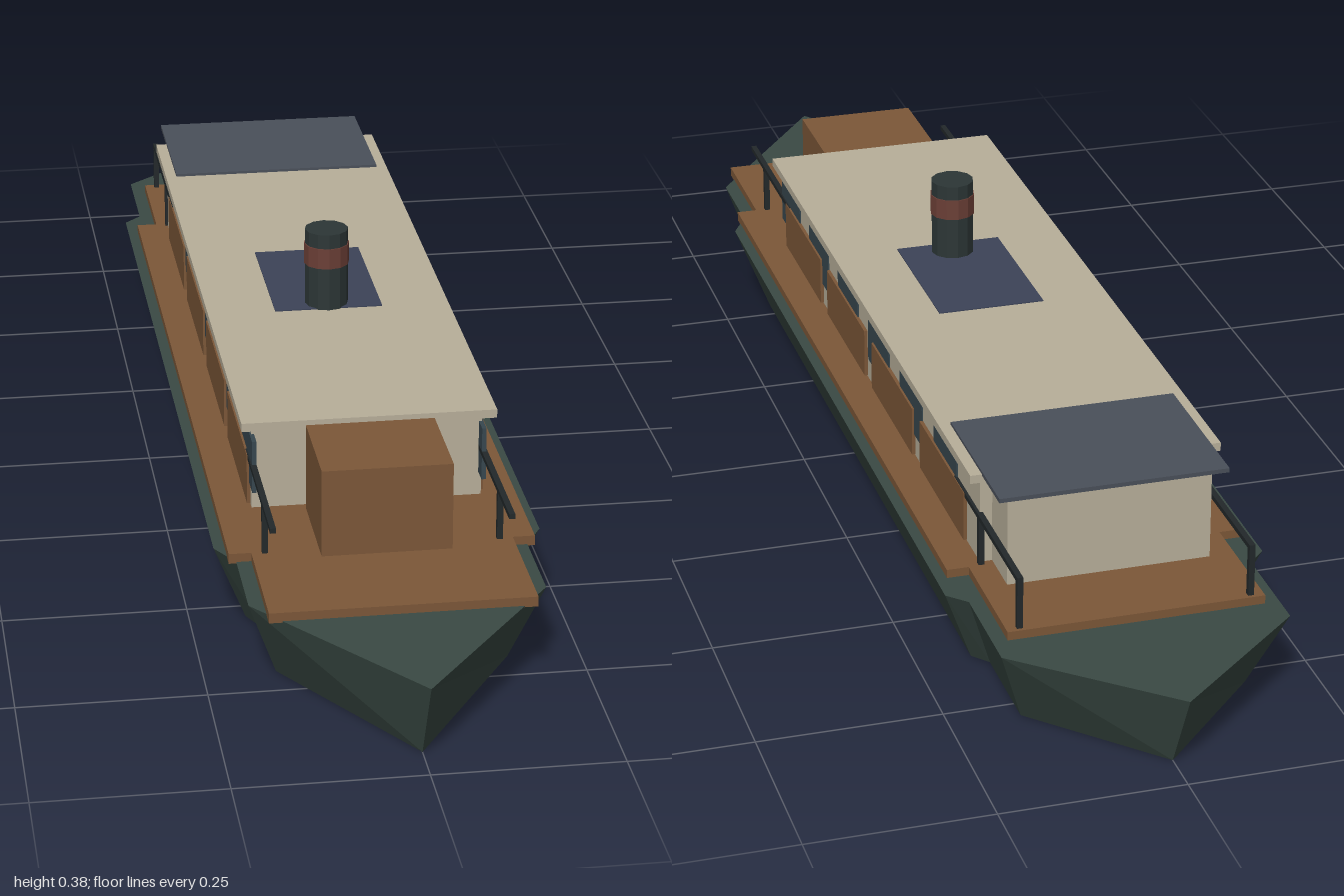
import * as THREE from 'three';

const material = (color) => new THREE.MeshStandardMaterial({ color, flatShading: true });

export function createModel() {
  const boat = new THREE.Group();
  boat.name = 'canalBoat';

  const green = material(0x3a4a44);
  const wood = material(0x7c5738);
  const cream = material(0xb8af9a);
  const glass = material(0x37474f);
  const slate = material(0x4a505a);
  const navy = material(0x3c4358);
  const black = material(0x22282a);
  const soot = material(0x2c3636);
  const red = material(0x6b3f36);

  const add = (name, geometry, mat, x = 0, y = 0, z = 0) => {
    const mesh = new THREE.Mesh(geometry, mat);
    mesh.name = name;
    mesh.position.set(x, y, z);
    boat.add(mesh);
    return mesh;
  };

  // Box given by its lower and upper limits on each axis
  const box = (name, mat, [x0, x1], [y0, y1], [z0, z1]) =>
    add(name, new THREE.BoxGeometry(x1 - x0, y1 - y0, z1 - z0), mat,
      (x0 + x1) / 2, (y0 + y1) / 2, (z0 + z1) / 2);

  // Upright slab from one side of a symmetric plan outline of [x, z] points
  const slab = (half, height) => {
    const mirrored = half.filter(([x]) => x > 0).map(([x, z]) => [-x, z]).reverse();
    const points = [...half, ...mirrored].map(([x, z]) => new THREE.Vector2(x, -z));
    const geometry = new THREE.ExtrudeGeometry(new THREE.Shape(points), { depth: height, bevelEnabled: false });
    return geometry.rotateX(-Math.PI / 2);
  };

  // Hull: pointed at both ends, tapering towards the flat bottom
  const hull = slab([
    [0, 1], [0.195, 0.74], [0.195, 0.61], [0.22, 0.565],
    [0.22, -0.655], [0.195, -0.68], [0.195, -0.83], [0, -1],
  ], 0.12);
  const p = hull.attributes.position;
  for (let i = 0; i < p.count; i++) {
    if (p.getY(i) < 0.01) p.setXYZ(i, p.getX(i) * 0.79, 0, p.getZ(i) * 0.94);
  }
  hull.computeVertexNormals();
  add('hull', hull, green);

  // Deck with narrower ends
  add('deck', slab([
    [0.175, 0.79], [0.175, 0.61], [0.205, 0.61],
    [0.205, -0.61], [0.175, -0.61], [0.175, -0.79],
  ], 0.014), wood, 0, 0.118, 0);

  // Cabin, stern cabin and roofs
  box('cabin', cream, [-0.157, 0.157], [0.13, 0.256], [-0.6, 0.47]);
  box('sternCabin', cream, [-0.14, 0.14], [0.13, 0.266], [-0.67, -0.5]);
  box('roof', cream, [-0.173, 0.173], [0.255, 0.267], [-0.61, 0.495]);
  box('sternCanopy', slate, [-0.157, 0.157], [0.265, 0.271], [-0.69, -0.46]);
  box('roofPanel', navy, [-0.077, 0.077], [0.262, 0.2685], [-0.12, 0.11]);
  box('bowLocker', wood, [-0.087, 0.087], [0.14, 0.262], [0.5, 0.65]);

  // Chimney with a coloured band
  add('chimney', new THREE.CylinderGeometry(0.031, 0.031, 0.12, 12), soot, 0, 0.321, 0.085);
  add('chimneyBand', new THREE.CylinderGeometry(0.0325, 0.0325, 0.03, 12), red, 0, 0.345, 0.085);

  for (const side of [-1, 1]) {
    const x = (a, b) => (side > 0 ? [a, b] : [-b, -a]);

    // Windows
    for (let i = 0; i < 6; i++) {
      const z = 0.437 - i * 0.175;
      box('window', glass, x(0.153, 0.159), [0.165, 0.24], [z - 0.058, z + 0.058]);
    }
    // Lower side panels
    for (let i = 0; i < 4; i++) {
      const z = 0.35 - i * 0.26;
      box('sidePanel', wood, x(0.153, 0.162), [0.134, 0.205], [z - 0.11, z + 0.11]);
    }
    // Handrails at bow and stern
    box('bowRail', black, x(0.153, 0.161), [0.199, 0.206], [0.44, 0.695]);
    box('sternRail', black, x(0.153, 0.161), [0.199, 0.206], [-0.785, -0.49]);
    for (const z of [0.61, -0.605, -0.781]) {
      box('railPost', black, x(0.153, 0.161), [0.13, 0.202], [z - 0.004, z + 0.004]);
    }
  }

  return boat;
}
